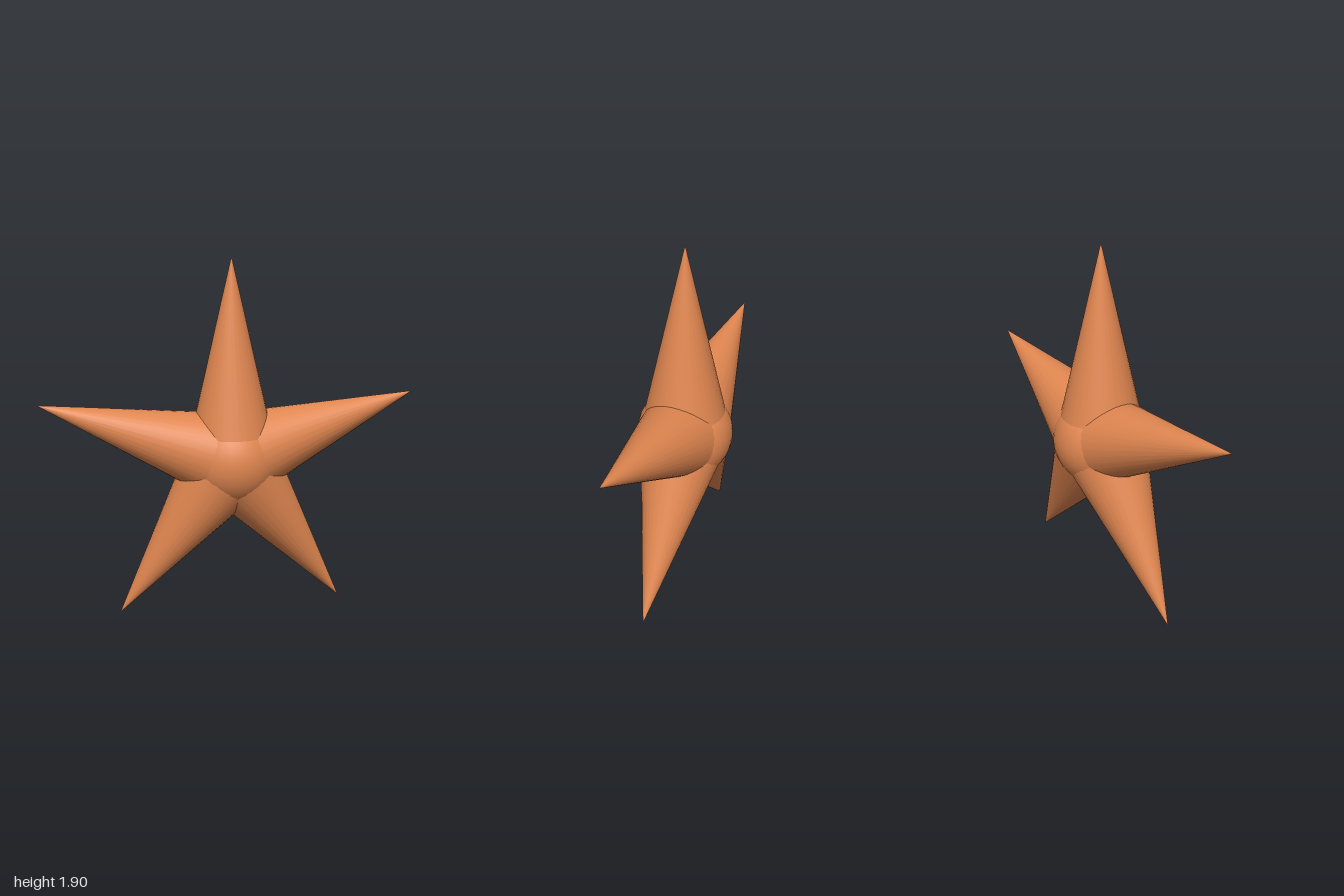
import * as THREE from 'three';

export function createModel() {
  const model = new THREE.Group();
  model.name = 'star';
  const orange = new THREE.MeshStandardMaterial({ color: 0xe08650 });
  orange.name = 'orange';

  const reach = 1.0515; // centre to tip
  const centreY = 0.851;

  // Round core
  const core = new THREE.Mesh(new THREE.SphereGeometry(0.256, 32, 24), orange);
  core.name = 'core';
  core.position.y = centreY;
  model.add(core);

  // Five conical arms, bases hidden inside the core
  const armGeometry = new THREE.ConeGeometry(0.2455, reach, 32);
  armGeometry.translate(0, reach / 2, 0);
  for (let i = 0; i < 5; i++) {
    const arm = new THREE.Mesh(armGeometry, orange);
    arm.name = `arm${i + 1}`;
    arm.position.y = centreY;
    arm.rotation.z = (i * Math.PI * 2) / 5;
    model.add(arm);
  }
  return model;
}
